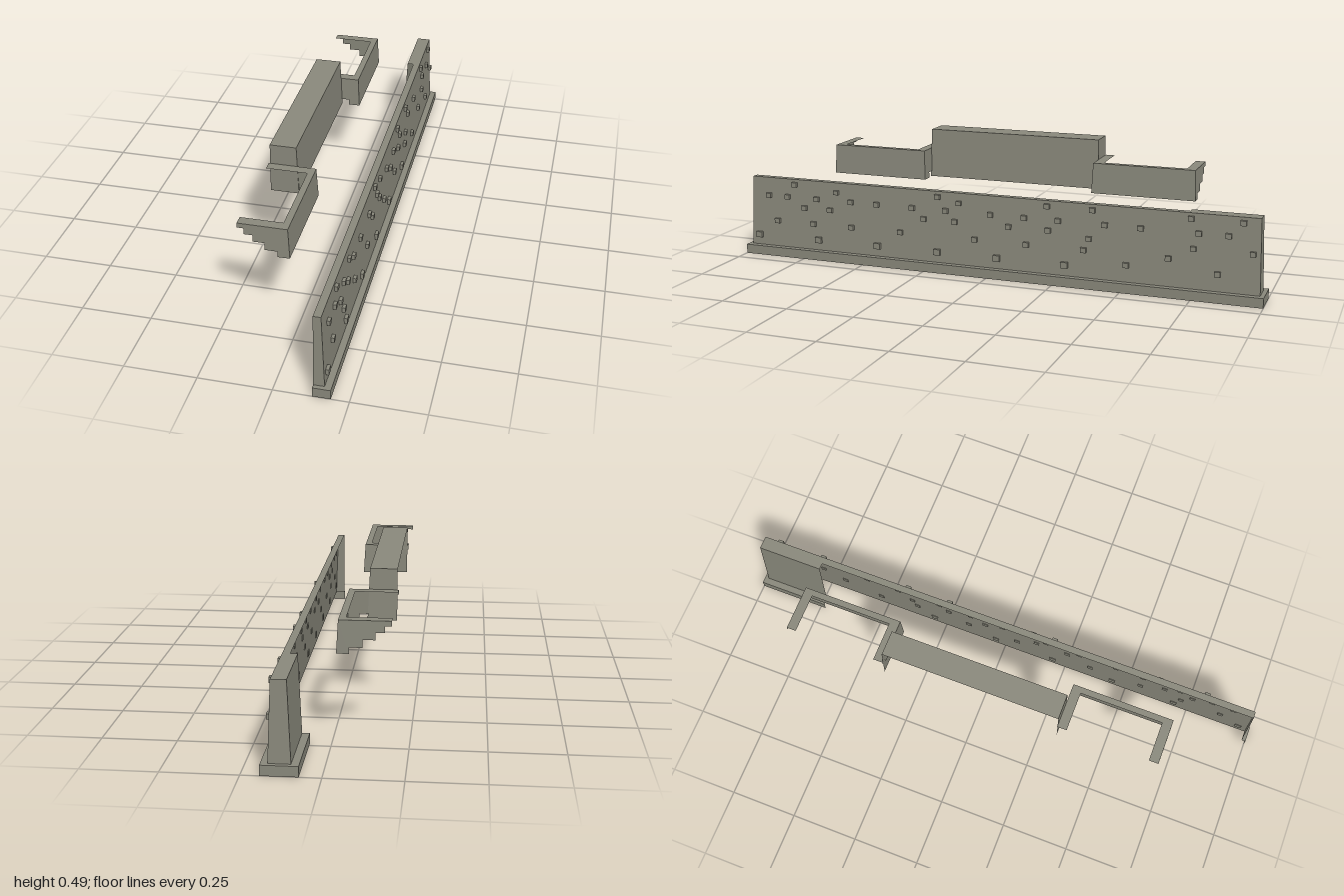
import * as THREE from 'three';

const stone = new THREE.MeshStandardMaterial({ color: 0x8a897c, side: THREE.DoubleSide });
stone.name = 'weathered stone';

// Flat-shaded sheet between pairs of matching polylines (lower a, upper b).
function shell(name, ...bands) {
  const pos = [];
  const tri = (p, q, r) => {
    const v = [p, q, r].map(c => new THREE.Vector3(...c));
    const n = v[1].clone().sub(v[0]).cross(v[2].clone().sub(v[0]));
    if (n.length() > 1e-9) pos.push(...p, ...q, ...r);
  };
  for (const [a, b] of bands) {
    for (let i = 0; i < a.length - 1; i++) {
      tri(a[i], b[i], b[i + 1]);
      tri(a[i], b[i + 1], a[i + 1]);
    }
  }
  const geo = new THREE.BufferGeometry();
  geo.setAttribute('position', new THREE.Float32BufferAttribute(pos, 3));
  geo.computeVertexNormals();
  const mesh = new THREE.Mesh(geo, stone);
  mesh.name = name;
  return mesh;
}

// Lift [x, z] points to height y.
const at = (y, pts) => pts.map(([x, z]) => [x, y, z]);

// Long battered wall with a thicker return at its back end, on a plinth.
function buildWall() {
  const g = new THREE.Group();
  g.name = 'longWall';
  const plinth = [[0.07, -0.73], [0.07, -1], [0.19, -1], [0.19, 1], [0.13, 1]];
  const foot = [[0.095, -0.73], [0.095, -0.985], [0.167, -0.985], [0.167, 0.985], [0.13, 0.985]];
  const crown = [[0.106, -0.73], [0.106, -0.977], [0.156, -0.977], [0.156, 0.977], [0.13, 0.977]];
  const inner = [[0.13, -0.73], [0.13, -0.73], [0.13, -0.73], [0.13, 0.977], [0.13, 0.977]];
  g.add(shell('plinth',
    [at(0, plinth), at(0.035, plinth)],
    [at(0.035, plinth), at(0.035, foot)]));
  g.add(shell('batteredWall',
    [at(0.035, foot), at(0.302, crown)],
    [at(0.302, crown), at(0.302, inner)]));
  return g;
}

// Small blocks projecting from the wall face: rows of [y, size, z positions].
function buildStones() {
  const g = new THREE.Group();
  g.name = 'projectingStones';
  const rows = [
    [0.282, 0.018, [0.795, 0.2, -0.222, -0.39, -0.74, -0.918]],
    [0.265, 0.016, [0.616, 0.115]],
    [0.233, 0.018, [0.907, 0.825, 0.7, 0.555, 0.447, 0.302, 0.168, -0.008, -0.137, -0.265, -0.436, -0.565, -0.768, -0.87]],
    [0.195, 0.018, [0.752, 0.643, 0.254, 0.131, -0.078, -0.228]],
    [0.178, 0.017, [-0.38, -0.752, -0.955]],
    [0.136, 0.018, [0.87, 0.715, 0.553, 0.35, 0.052, -0.147, -0.361, -0.666]],
    [0.097, 0.018, [-0.517, -0.838]],
    [0.075, 0.022, [0.951, 0.693, 0.444, 0.2, -0.035, -0.292]],
  ];
  for (const [y, size, zs] of rows) {
    const face = 0.167 - 0.011 * (y - 0.035) / 0.267;
    const geo = new THREE.BoxGeometry(0.014, size, size * 1.15);
    for (const z of zs) {
      const m = new THREE.Mesh(geo, stone);
      m.name = 'projectingStone';
      m.position.set(face + 0.004, y, z);
      g.add(m);
    }
  }
  return g;
}

// Raised middle parapet, open at the back.
function buildCentre() {
  const foot = [[-0.185, -0.336], [-0.083, -0.336], [-0.083, 0.336], [-0.185, 0.336]];
  const crown = [[-0.185, -0.332], [-0.091, -0.332], [-0.091, 0.332], [-0.185, 0.332]];
  const back = [[-0.185, -0.332], [-0.185, -0.332], [-0.185, 0.332], [-0.185, 0.332]];
  return shell('centreParapet',
    [at(0.303, foot), at(0.485, crown)],
    [at(0.485, crown), at(0.485, back)]);
}

// Side turret: front wall, two corbelled side walls stepping upward, and a coping.
function buildTurret(name, z0, z1) {
  const top = 0.412, low = 0.302, w = 0.035;
  const lean = y => 0.004 * (top - y) / (top - low);
  const frontX = y => -0.02 + 1.5 * lean(y);
  const xs = [-0.19, -0.168, -0.138, -0.098, -0.055, null];
  const ys = [0.395, 0.373, 0.349, 0.323, low];
  const bands = [];
  for (const side of [-1, 1]) {
    const p = (x, y) => [x ?? frontX(y), y, side < 0 ? z0 - lean(y) : z1 + lean(y)];
    ys.forEach((y, i) => {
      const a = [p(xs[i], y), p(xs[i + 1], y)];
      const b = [p(xs[i], top), p(xs[i + 1], top)];
      bands.push(side < 0 ? [a, b] : [a.reverse(), b.reverse()]);
    });
  }
  const fx = frontX(low);
  bands.push([
    at(low, [[fx, z0 - lean(low)], [fx, z1 + lean(low)]]),
    at(top, [[-0.02, z0], [-0.02, z1]])]);
  bands.push([
    at(top, [[-0.19, z0], [-0.02, z0], [-0.02, z1], [-0.19, z1]]),
    at(top, [[-0.19, z0 + w], [-0.043, z0 + w], [-0.043, z1 - w], [-0.19, z1 - w]])]);
  return shell(name, ...bands);
}

export function createModel() {
  const model = new THREE.Group();
  model.name = 'fortressWall';
  model.add(buildWall(), buildStones());
  const parapet = new THREE.Group();
  parapet.name = 'upperParapet';
  parapet.position.z = -0.004;
  parapet.add(
    buildCentre(),
    buildTurret('frontTurret', 0.334, 0.709),
    buildTurret('backTurret', -0.709, -0.334));
  model.add(parapet);
  return model;
}
